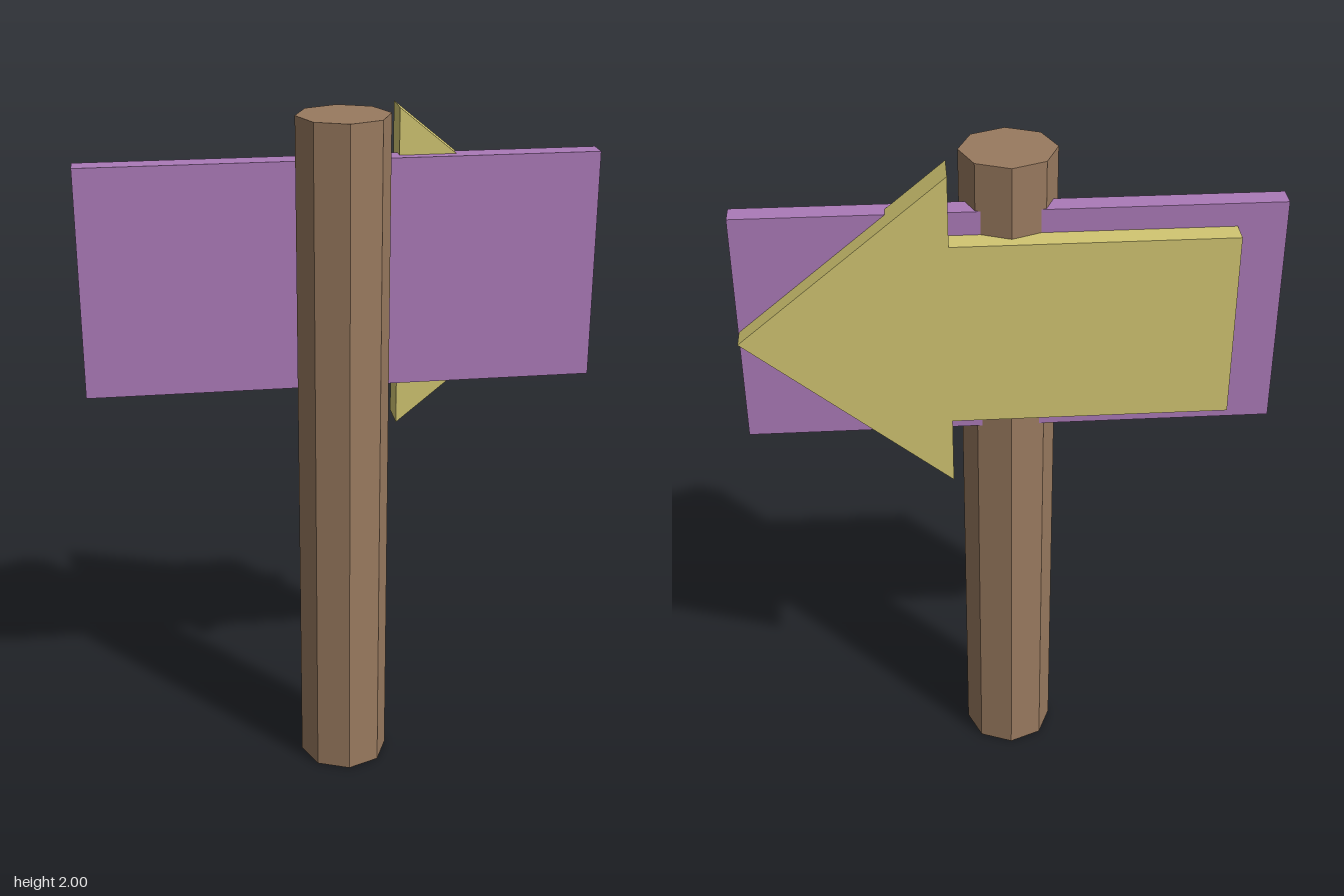
import * as THREE from 'three';

const material = (color) => new THREE.MeshStandardMaterial({ color, flatShading: true });

function addPart(group, name, geometry, color, x, y, z) {
  const mesh = new THREE.Mesh(geometry, material(color));
  mesh.name = name;
  mesh.position.set(x, y, z);
  group.add(mesh);
}

export function createModel() {
  const group = new THREE.Group();
  group.name = 'signpost';

  // Eight-sided post with a corner facing forward
  addPart(group, 'post', new THREE.CylinderGeometry(0.132, 0.132, 2, 8), 0x997a5f, 0, 1, 0.016);

  // Flat backing board, sunk into the rear of the post
  addPart(group, 'board', new THREE.BoxGeometry(1.466, 0.662, 0.064), 0xab7ab8, 0, 1.537, -0.051);

  // Arrow on the rear face, pointing to +x
  const headX = 0.166, tipX = 0.731, tailX = -0.6, headHalf = 0.465, shaftHalf = 0.267;
  const arrow = new THREE.Shape([
    [tailX, -shaftHalf], [headX, -shaftHalf], [headX, -headHalf], [tipX, 0],
    [headX, headHalf], [headX, shaftHalf], [tailX, shaftHalf],
  ].map(([x, y]) => new THREE.Vector2(x, y)));
  const arrowGeometry = new THREE.ExtrudeGeometry(arrow, { depth: 0.1, bevelEnabled: false });
  addPart(group, 'arrow', arrowGeometry, 0xd2c672, 0, 1.535, -0.15);

  return group;
}
